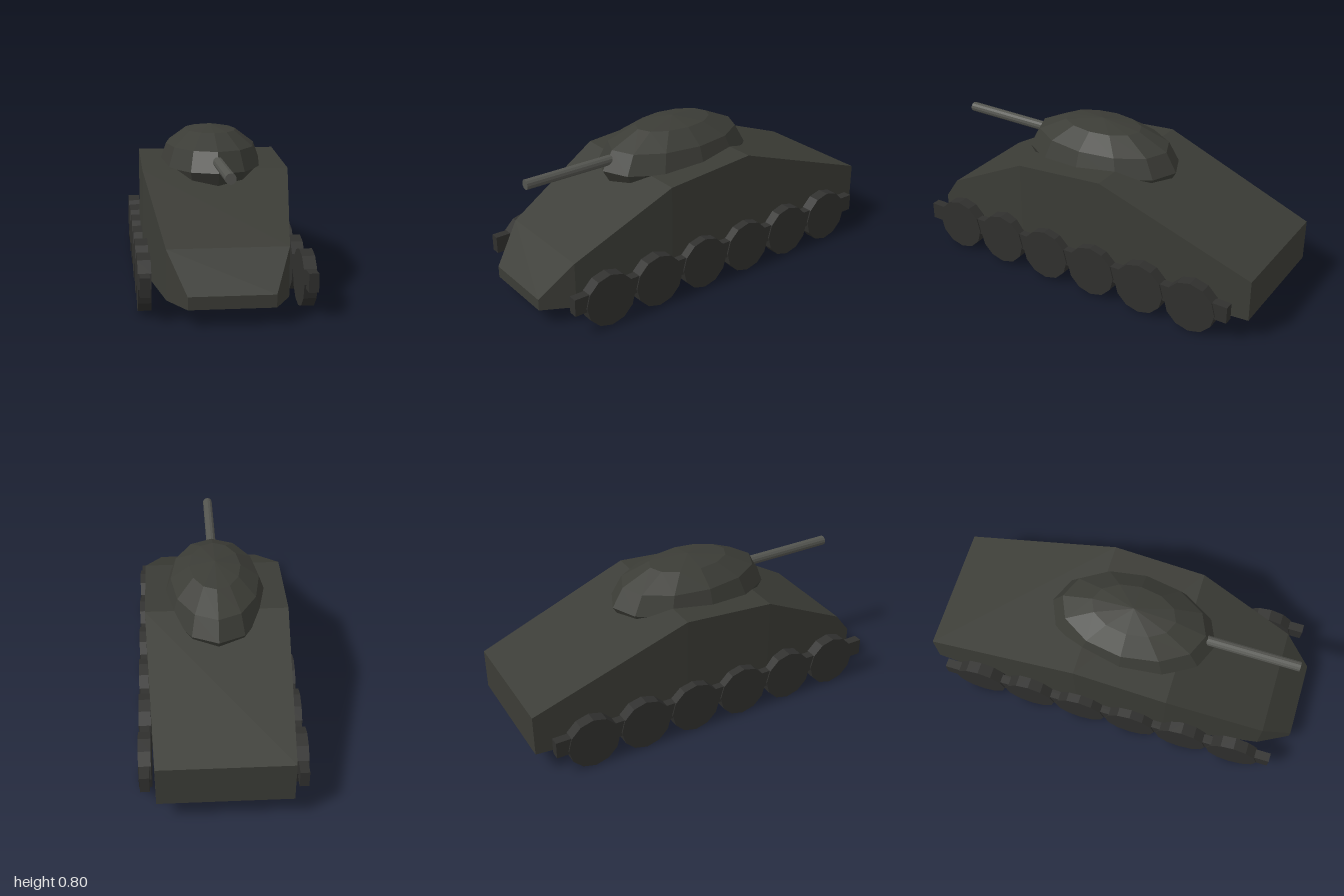
import * as THREE from 'three';

const paint = (color) => new THREE.MeshStandardMaterial({ color, flatShading: true });

function add(parent, name, geometry, material, x = 0, y = 0, z = 0) {
  const mesh = new THREE.Mesh(geometry, material);
  mesh.name = name;
  mesh.position.set(x, y, z);
  parent.add(mesh);
  return mesh;
}

// Hull lofted through rectangular sections: [z, half width, bottom y, top y]
function hullGeometry() {
  const sections = [
    [1, 0.2, 0.08, 0.14],
    [0.84, 0.285, 0.08, 0.32],
    [0.32, 0.367, 0.08, 0.6],
    [-0.17, 0.367, 0.08, 0.64],
    [-1, 0.33, 0.12, 0.34],
  ];
  const positions = [];
  const index = [];
  // Corner order seen from the front: bottom right, bottom left, top left, top right
  for (const [z, w, b, t] of sections) positions.push(-w, b, z, w, b, z, w, t, z, -w, t, z);
  for (let s = 0; s < sections.length - 1; s++) {
    for (let k = 0; k < 4; k++) {
      const a = s * 4 + k;
      const b = s * 4 + ((k + 1) % 4);
      if (k === 1) index.push(a, a + 4, b + 4, a, b + 4, b);
      if (k === 1) index.splice(-6, 6, a, a + 4, b, b, a + 4, b + 4);
      else if (k === 3) index.push(a, a + 4, b, b, a + 4, b + 4);
      else index.push(a, a + 4, b + 4, a, b + 4, b);
    }
  }
  const e = (sections.length - 1) * 4;
  index.push(0, 1, 2, 0, 2, 3, e, e + 2, e + 1, e, e + 3, e + 2);
  const indexed = new THREE.BufferGeometry();
  indexed.setAttribute('position', new THREE.Float32BufferAttribute(positions, 3));
  indexed.setIndex(index);
  const geometry = indexed.toNonIndexed();
  geometry.computeVertexNormals();
  return geometry;
}

export function createModel() {
  const model = new THREE.Group();
  model.name = 'tank';
  const armour = paint(0x3b3c36);
  const running = paint(0x30302e);
  const steel = paint(0x53544f);

  add(model, 'hull', hullGeometry(), armour);

  // Faceted ellipsoid turret, half sunk into the hull
  const dome = new THREE.SphereGeometry(1, 12, 6).scale(0.267, 0.2, 0.44);
  add(model, 'turret', dome, armour, 0, 0.6, 0.04);

  // Gun barrel
  const barrel = new THREE.CylinderGeometry(0.026, 0.026, 0.62, 12).rotateX(Math.PI / 2);
  add(model, 'gunBarrel', barrel, steel, 0, 0.651, 0.61);

  // Six wheels and a connecting beam on each side
  const wheel = new THREE.CylinderGeometry(0.139, 0.139, 0.062, 12).rotateZ(Math.PI / 2);
  const beam = new THREE.BoxGeometry(0.047, 0.09, 1.84);
  for (const side of [1, -1]) {
    const gear = new THREE.Group();
    gear.name = side > 0 ? 'leftRunningGear' : 'rightRunningGear';
    add(gear, 'beam', beam, running, side * 0.384, 0.164, 0);
    for (let i = 0; i < 6; i++) {
      add(gear, 'wheel' + (i + 1), wheel, running, side * 0.383, 0.139, 0.72 - i * 0.288);
    }
    model.add(gear);
  }
  return model;
}
